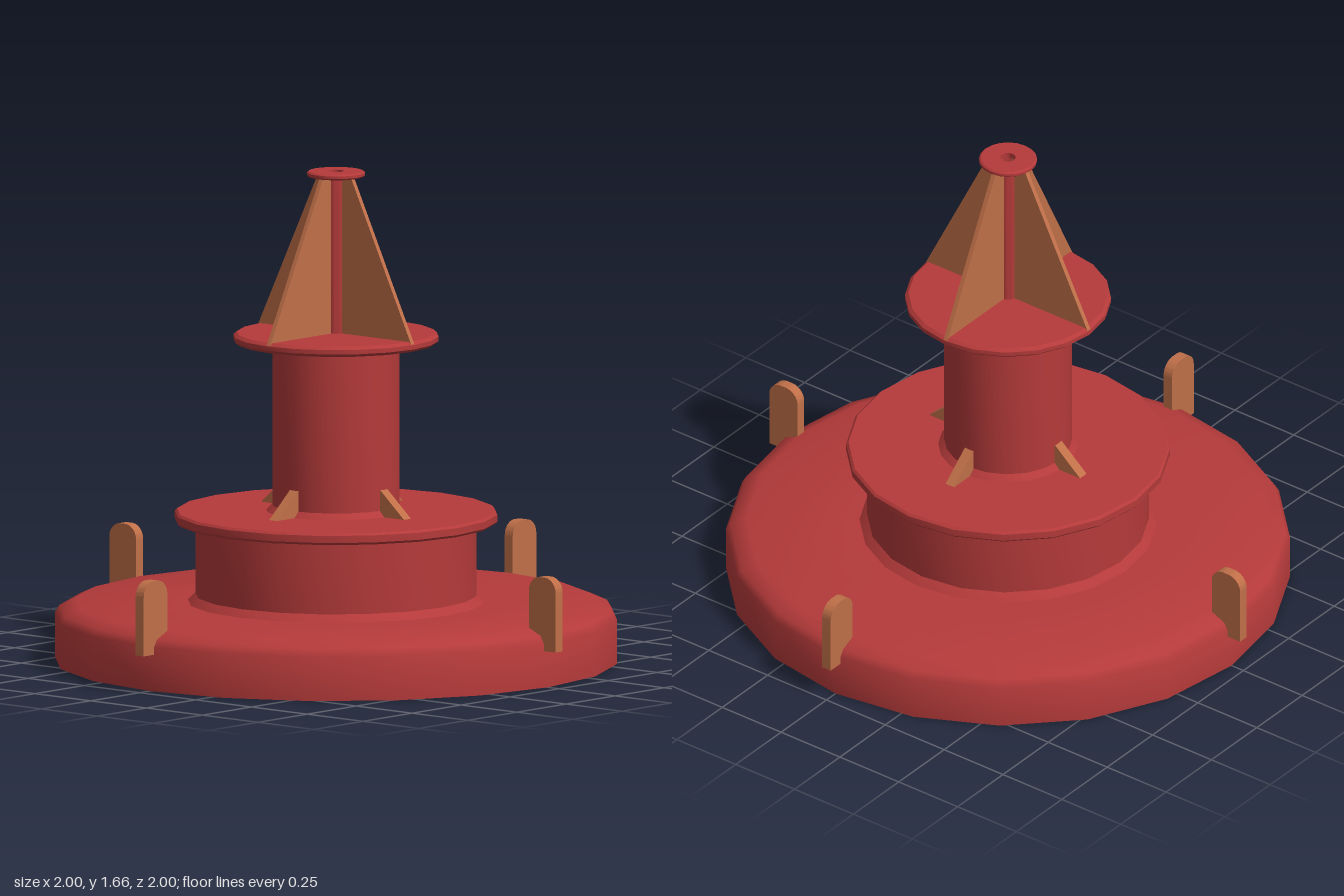
import * as THREE from 'three';
import { toCreasedNormals } from 'three/addons/utils/BufferGeometryUtils.js';

const red = new THREE.MeshStandardMaterial({ color: 0xb53a3a, side: THREE.DoubleSide });
const orange = new THREE.MeshStandardMaterial({ color: 0xbf6f48 });

// Flat plate standing in a radial plane: outline in (radius, height)
function plate(shape, thickness) {
  const geo = new THREE.ExtrudeGeometry(shape, { depth: thickness, bevelEnabled: false, curveSegments: 6 });
  geo.translate(0, 0, -thickness / 2);
  return toCreasedNormals(geo, 0.6);
}

function polygon(points) {
  return new THREE.Shape(points.map(([x, y]) => new THREE.Vector2(x, y)));
}

// Four copies of a plate around the vertical axis
function ring(name, geometry) {
  const group = new THREE.Group();
  group.name = name;
  for (let i = 0; i < 4; i++) {
    const mesh = new THREE.Mesh(geometry, orange);
    mesh.name = name + i;
    mesh.rotation.y = (i * Math.PI) / 2;
    group.add(mesh);
  }
  return group;
}

// Open shell turned around the vertical axis, 20 sides
function turned(name, profile) {
  const pts = profile.map(([r, y]) => new THREE.Vector2(r, y));
  const mesh = new THREE.Mesh(toCreasedNormals(new THREE.LatheGeometry(pts, 20), 0.65), red);
  mesh.name = name;
  return mesh;
}

export function createModel() {
  const model = new THREE.Group();
  model.name = 'buoy';

  // Hollow float with bevelled shoulder, open underneath
  model.add(turned('float', [
    [0.95, 0], [0.95, 0.15], [0.935, 0.175], [0.88, 0.2], [0.5, 0.2],
  ]));
  // Drum with its overhanging flange
  model.add(turned('drum', [
    [0.5, 0.2], [0.475, 0.225], [0.475, 0.47], [0.537, 0.47], [0.545, 0.478],
    [0.545, 0.502], [0.537, 0.51], [0.235, 0.51],
  ]));
  // Column with the upper deck
  model.add(turned('column', [
    [0.235, 0.51], [0.215, 0.53], [0.215, 1.075], [0.23, 1.08], [0.335, 1.08],
    [0.347, 1.09], [0.347, 1.105], [0.335, 1.115], [0.035, 1.115],
  ]));
  // Hollow mast with a small cap
  model.add(turned('mast', [
    [0.035, 1.115], [0.035, 1.645], [0.092, 1.645], [0.098, 1.65],
    [0.098, 1.659], [0.092, 1.664], [0.026, 1.664], [0.026, 1.645],
  ]));

  // Tall tapered fins of the daymark
  model.add(ring('markFin', plate(polygon([
    [0.03, 1.105], [0.345, 1.105], [0.073, 1.65], [0.03, 1.65],
  ]), 0.016)));

  // Gussets at the foot of the column
  model.add(ring('gusset', plate(polygon([
    [0.16, 0.46], [0.3, 0.46], [0.32, 0.51], [0.215, 0.6], [0.16, 0.6],
  ]), 0.036)));

  // Lifting lugs with rounded tops on the rim
  const lug = new THREE.Shape();
  lug.moveTo(0.88, 0.125);
  lug.lineTo(1, 0.125);
  lug.lineTo(1, 0.325);
  lug.absarc(0.95, 0.325, 0.05, 0, Math.PI / 2);
  lug.absarc(0.93, 0.325, 0.05, Math.PI / 2, Math.PI);
  lug.closePath();
  model.add(ring('liftingLug', plate(lug, 0.036)));

  return model;
}
